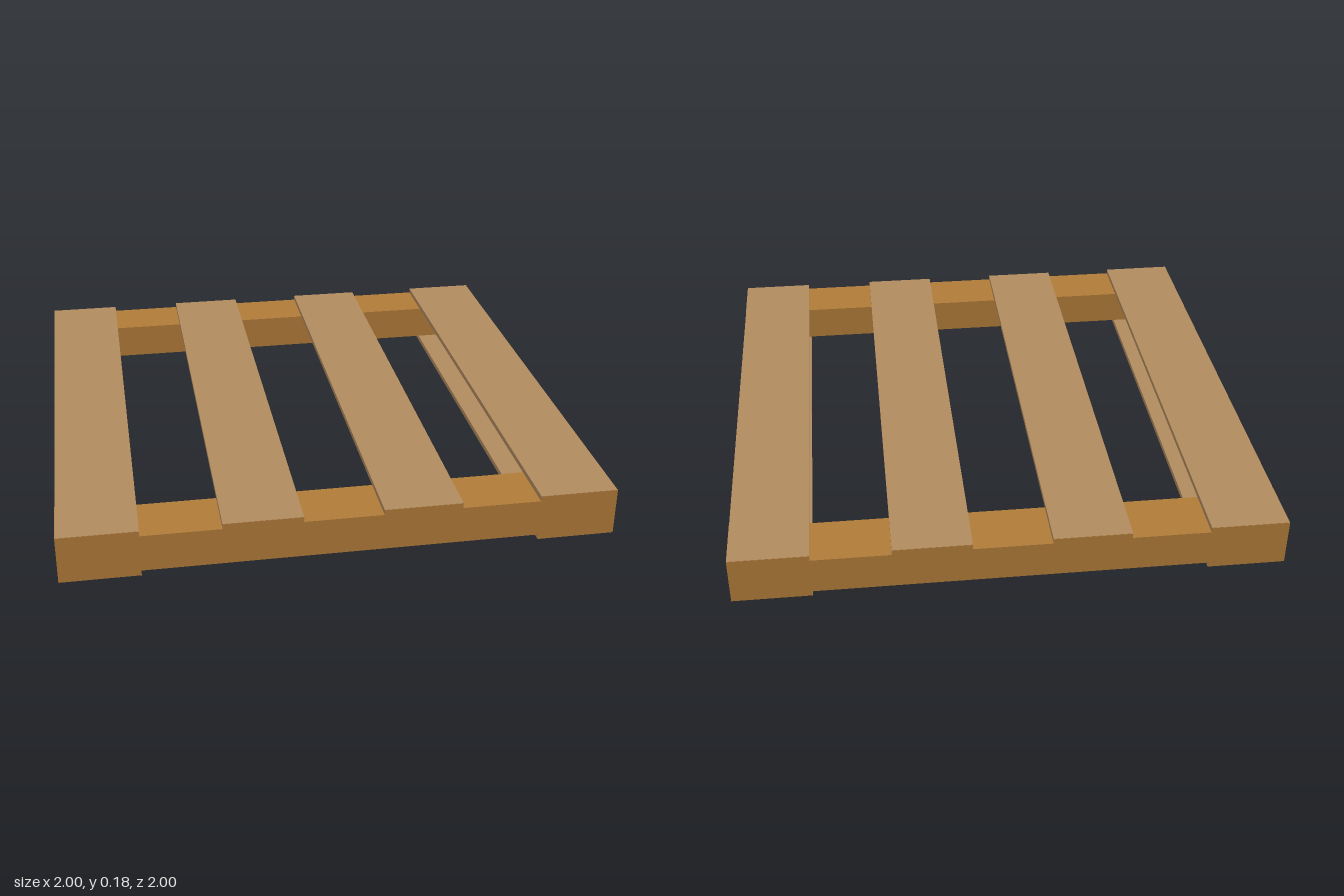
import * as THREE from 'three';

export function createModel() {
  const pallet = new THREE.Group();
  pallet.name = 'pallet';

  const plankWood = new THREE.MeshStandardMaterial({ color: 0xb08a5e });
  plankWood.name = 'plankWood';
  const beamWood = new THREE.MeshStandardMaterial({ color: 0xb07b38 });
  beamWood.name = 'beamWood';

  const H = 0.18, T = 0.02;      // overall height, plank thickness
  const W = 2 / 7;               // plank width, equal to the gaps
  const D = 0.21;                // beam depth
  const e = 0.001;               // keeps overlapping faces apart

  // Long planks: four on top, two underneath
  const addPlank = (name, left, y) => {
    const x0 = Math.max(left, -1 + e), x1 = Math.min(left + W, 1 - e);
    const plank = new THREE.Mesh(new THREE.BoxGeometry(x1 - x0, T, 2 - 2 * e), plankWood);
    plank.position.set((x0 + x1) / 2, y, 0);
    plank.name = name;
    pallet.add(plank);
  };
  for (let i = 0; i < 4; i++) addPlank('topPlank' + (i + 1), -1 + 2 * i * W, H - T / 2);
  for (const i of [0, 3]) addPlank(i ? 'bottomPlankLeft' : 'bottomPlankRight', -1 + 2 * i * W, T / 2);

  // Cross beams: notched outline whose tabs show as the plank ends
  const outline = [];
  for (let i = 0; i < 4; i++) {
    const a = -1 + 2 * i * W + (i > 0 ? e : 0);
    const b = -1 + (2 * i + 1) * W - (i < 3 ? e : 0);
    if (i > 0) outline.push([a, H - T]);
    outline.push([a, H - e], [b, H - e]);
    if (i < 3) outline.push([b, H - T]);
  }
  const foot = 1 - W + e;
  outline.push([1, e], [foot, e], [foot, T], [-foot, T], [-foot, e], [-1, e]);
  const shape = new THREE.Shape(outline.map(([x, y]) => new THREE.Vector2(x, y)));
  const beamGeometry = new THREE.ExtrudeGeometry(shape, { depth: D, bevelEnabled: false });

  for (const [name, z] of [['frontBeam', 1 - D], ['backBeam', -1]]) {
    const beam = new THREE.Mesh(beamGeometry, beamWood);
    beam.position.z = z;
    beam.name = name;
    pallet.add(beam);
  }
  return pallet;
}
